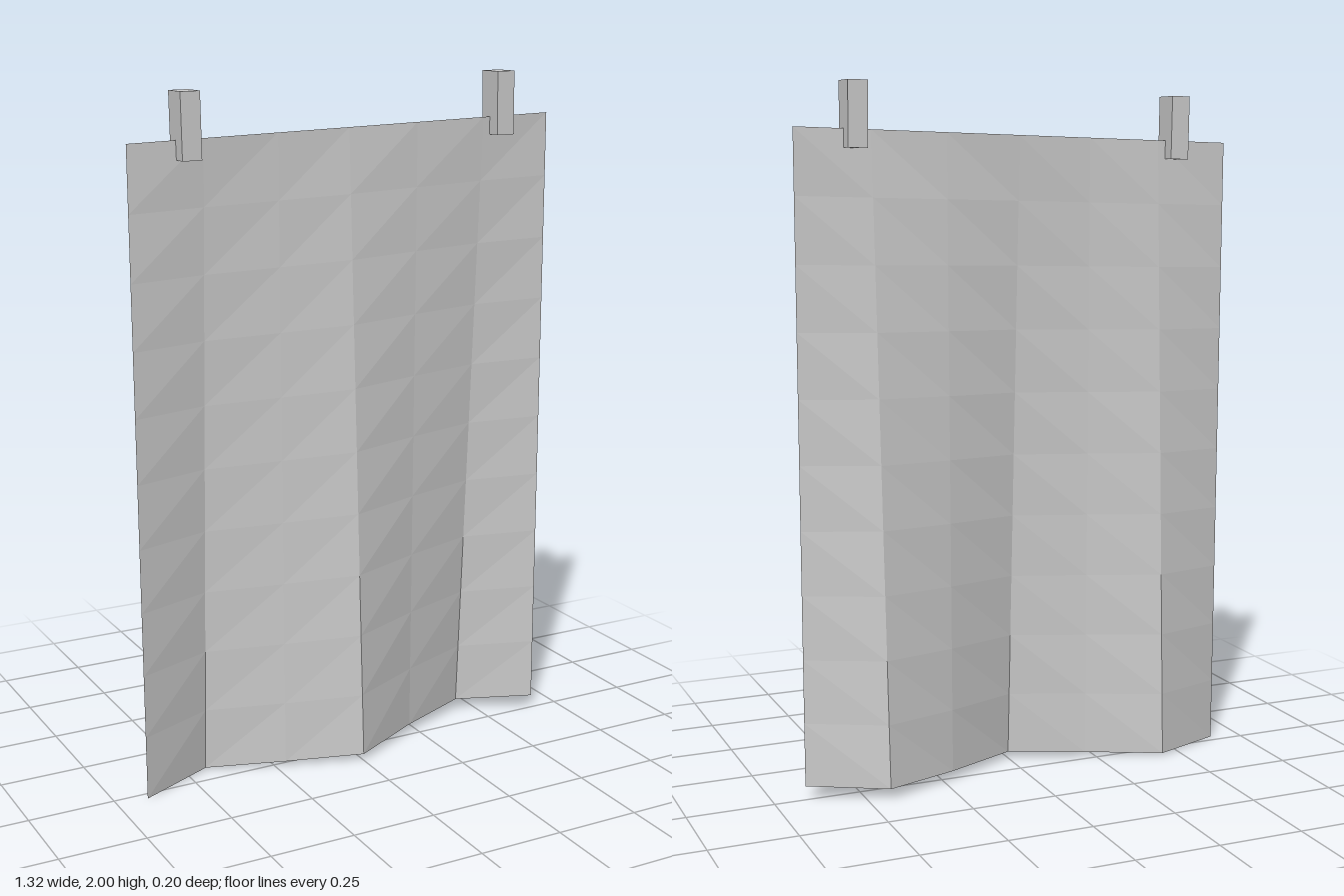
import * as THREE from 'three';

// Depth of the folds along the bottom hem, at seven even steps in x
const HEM = [0.03, -0.065, 0.02, 0.097, -0.013, -0.1, 0];
const HALF = 0.66;
const ROWS = 10;

export function createModel() {
  const group = new THREE.Group();
  const grey = new THREE.MeshStandardMaterial({ color: 0xcccccc, flatShading: true });
  const thin = grey.clone();
  thin.side = THREE.DoubleSide;

  // Hanging cloth: straight at the top, folds deepen evenly toward the hem
  const geo = new THREE.PlaneGeometry(2 * HALF, 1, HEM.length - 1, ROWS);
  const p = geo.attributes.position;
  for (let i = 0; i < p.count; i++) {
    const x = p.getX(i);
    const up = p.getY(i) + 0.5;
    const side = x / HALF;
    const bottom = 0.024 + 0.02 * side;
    const top = 1.857 + 0.019 * side;
    const hemZ = HEM[i % HEM.length];
    const topZ = 0.006 - 0.009 * side;
    p.setXYZ(i, x, THREE.MathUtils.lerp(bottom, top, up), THREE.MathUtils.lerp(hemZ, topZ, up));
  }
  geo.computeVertexNormals();
  const cloth = new THREE.Mesh(geo, thin);
  cloth.name = 'cloth';
  group.add(cloth);

  // Pegs gripping the top edge
  const pegs = [
    ['rightPeg', -0.493, 1.88, 0.015],
    ['leftPeg', 0.49, 1.91, 0],
  ];
  for (const [name, x, y, z] of pegs) {
    const peg = new THREE.Mesh(new THREE.BoxGeometry(0.056, 0.18, 0.08), grey);
    peg.name = name;
    peg.position.set(x, y, z);
    peg.rotation.z = 0.015;
    group.add(peg);
  }
  return group;
}
